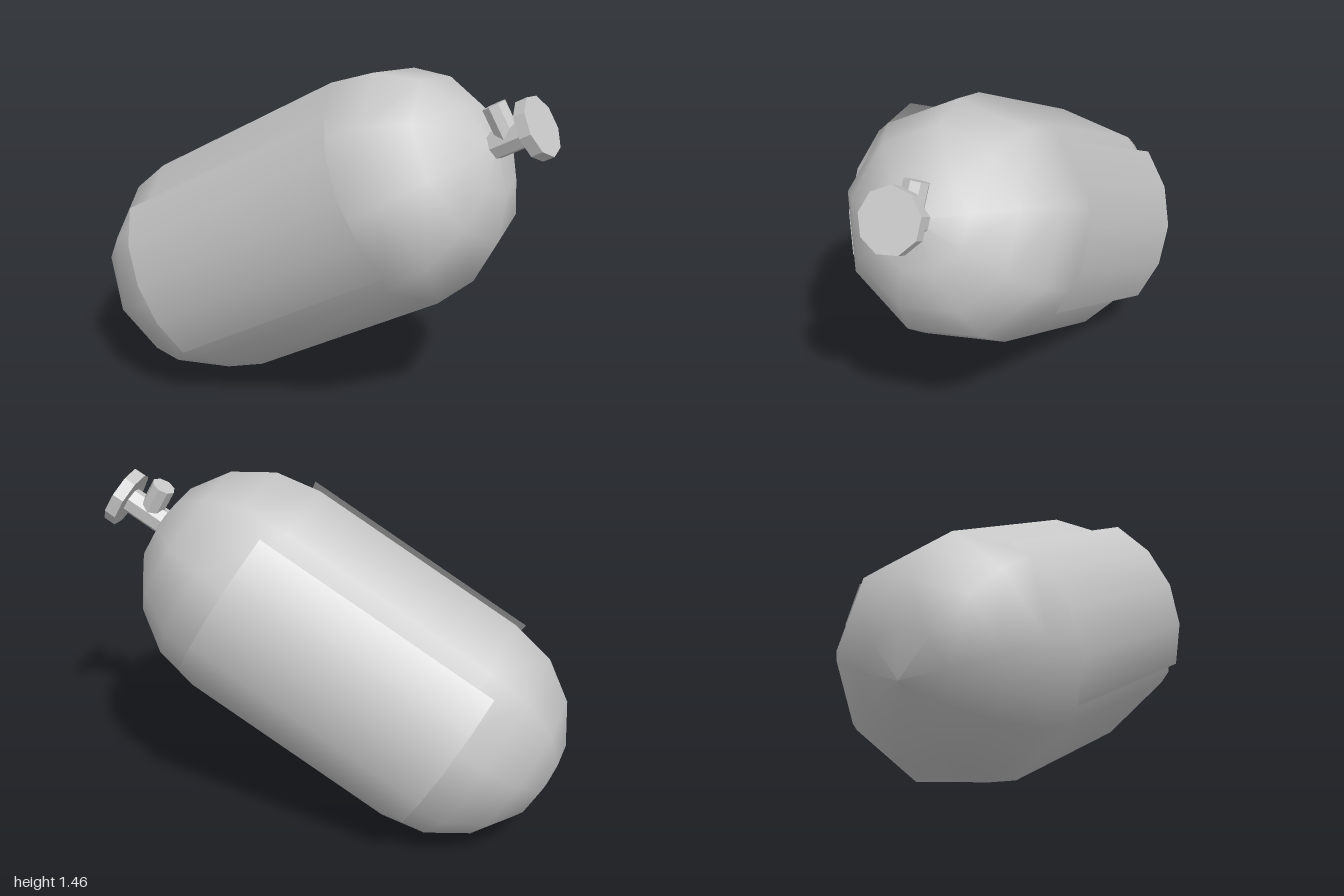
import * as THREE from 'three';
import { toCreasedNormals } from 'three/addons/utils/BufferGeometryUtils.js';

export function createModel() {
  const model = new THREE.Group();
  model.name = 'gasTank';

  // Double sided because the label panels are open sheets
  const grey = new THREE.MeshStandardMaterial({ color: 0xc8c8c8, side: THREE.DoubleSide });
  grey.name = 'tank grey';

  // The tank is built upright along y from the lower dome's centre, then tilted
  const tank = new THREE.Group();
  tank.name = 'tank';
  tank.rotation.z = -Math.PI / 3;
  tank.position.set(-0.505, 0.49, 0);
  model.add(tank);

  function add(name, geometry, x, y) {
    const mesh = new THREE.Mesh(geometry, grey);
    mesh.name = name;
    mesh.position.set(x, y, 0);
    tank.add(mesh);
    return mesh;
  }

  const radius = 0.497, length = 0.965, capSteps = 4;

  // Body: smooth capsule profile with nine sides
  const profile = [];
  for (const top of [0, 1]) {
    for (let i = 0; i <= capSteps; i++) {
      const a = ((i / capSteps) - (top ? 0 : 1)) * Math.PI / 2;
      const r = Math.abs(Math.cos(a)) < 1e-6 ? 0 : radius * Math.cos(a);
      profile.push(new THREE.Vector2(r, radius * Math.sin(a) + top * length));
    }
  }
  add('body', new THREE.LatheGeometry(profile, 9), 0, 0);

  // Curved label panels on the front and back
  const deg = Math.PI / 180;
  for (const [name, start] of [['frontPanel', -49], ['backPanel', 150]]) {
    const panel = new THREE.CylinderGeometry(0.514, 0.514, 1.087, 4, 1, true, start * deg, 79 * deg);
    add(name, panel, 0, 0.4835);
  }

  // Valve: stem, side outlet and round handwheel
  const faceted = (r, h, sides) =>
    toCreasedNormals(new THREE.CylinderGeometry(r, r, h, sides), 0.4);
  add('valveStem', faceted(0.056, 0.2, 7), 0, 1.53);
  const outlet = add('valveOutlet', faceted(0.05, 0.145, 8), -0.0725, 1.52);
  outlet.rotation.z = Math.PI / 2;
  add('handwheel', faceted(0.125, 0.05, 9), 0, 1.64);

  return model;
}
